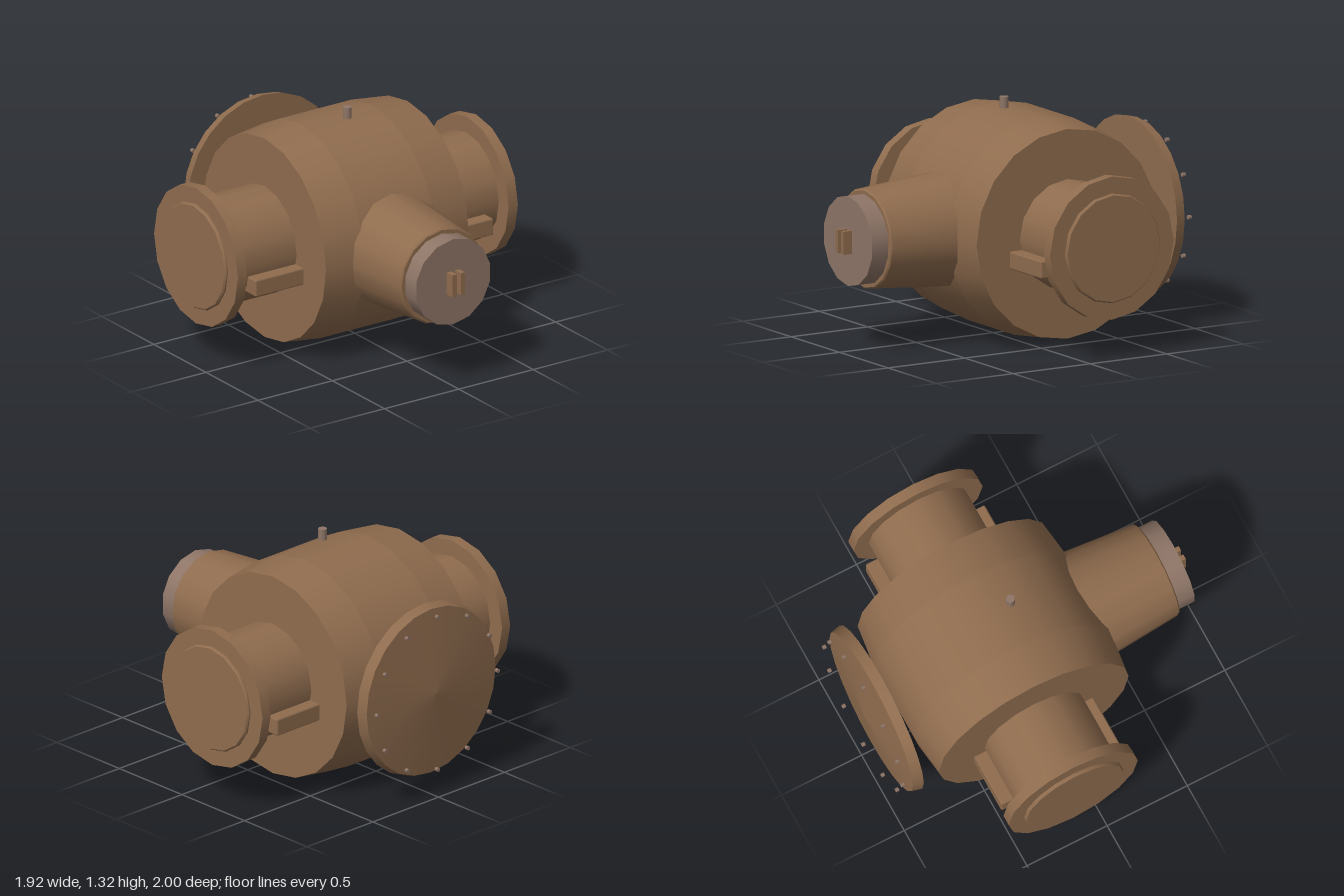
import * as THREE from 'three';
import { RoundedBoxGeometry } from 'three/addons/geometries/RoundedBoxGeometry.js';

const CY = 0.627; // height of all main axes
const CZ = -0.18; // depth of the barrel axis

export function createModel() {
  const model = new THREE.Group();
  const brown = new THREE.MeshStandardMaterial({ name: 'brown casing', color: 0x8f6c4e });
  const grey = new THREE.MeshStandardMaterial({ name: 'dull metal', color: 0x8e7567 });

  const add = (name, geometry, material, x = 0, y = 0, z = 0) => {
    const mesh = new THREE.Mesh(geometry, material);
    mesh.name = name;
    mesh.position.set(x, y, z);
    model.add(mesh);
    return mesh;
  };

  // Cylinder along x from x0 (radius r0) to x1 (radius r1)
  const alongX = (name, x0, x1, r0, r1, sides, open = false) => {
    const g = new THREE.CylinderGeometry(r1, r0, x1 - x0, sides, 1, open).rotateZ(-Math.PI / 2);
    return add(name, g, brown, (x0 + x1) / 2, CY, CZ);
  };

  // Cylinder along z from z0 (radius r0) to z1 (radius r1)
  const alongZ = (name, z0, z1, r0, r1, sides, material = brown, x = 0, y = CY) => {
    const g = new THREE.CylinderGeometry(r1, r0, z1 - z0, sides).rotateX(Math.PI / 2);
    return add(name, g, material, x, y, (z0 + z1) / 2);
  };

  // Main barrel with tapered ends
  alongX('barrelMiddle', -0.24, 0.24, 0.62, 0.62, 20, true);
  alongX('barrelLeftTaper', 0.24, 0.48, 0.62, 0.59, 20);
  alongX('barrelRightTaper', -0.48, -0.24, 0.59, 0.62, 20);

  // Side pipe with bevelled ends
  alongX('sidePipe', -0.95, 0.95, 0.308, 0.308, 16);
  alongX('leftPipeLip', 0.95, 0.96, 0.308, 0.3, 16);
  alongX('rightPipeLip', -0.96, -0.95, 0.3, 0.308, 16);

  // Flanges and ribs on both sides
  for (const s of [1, -1]) {
    const side = s > 0 ? 'left' : 'right';
    const mid = 0.91 * s;
    alongX(side + 'Flange', mid - 0.031, mid + 0.031, 0.403, 0.403, 16);
    add(side + 'Rib', new RoundedBoxGeometry(0.4, 0.1, 0.745, 1, 0.01), brown, 0.6 * s, 0.518, CZ);
  }

  // Front nozzle, its cap and the two tabs
  alongZ('nozzle', 0, 0.832, 0.35, 0.281, 16);
  alongZ('nozzleLip', 0.832, 0.84, 0.281, 0.273, 16);
  alongZ('nozzleCap', 0.8, 0.945, 0.253, 0.253, 14, grey);
  for (const s of [1, -1]) {
    add('capTab', new THREE.BoxGeometry(0.03, 0.13, 0.065), brown, 0.028 * s, CY, 0.9675);
  }

  // Detached rear cover with a shallow conical face
  alongZ('coverRim', -0.94, -0.88, 0.49, 0.505, 24);
  const coneFace = new THREE.ConeGeometry(0.49, 0.045, 24).rotateX(-Math.PI / 2);
  add('coverFace', coneFace, brown, 0, CY, -0.9625);

  // Ring of bolts behind the cover
  for (let i = 0; i < 12; i++) {
    const a = (i * Math.PI) / 6;
    alongZ('coverBolt', -1, -0.98, 0.012, 0.012, 8, grey, 0.457 * Math.cos(a), CY + 0.457 * Math.sin(a));
  }

  // Small pin above the barrel
  add('topPin', new THREE.CylinderGeometry(0.025, 0.025, 0.064, 10), grey, 0, 1.297, -0.072);

  return model;
}
